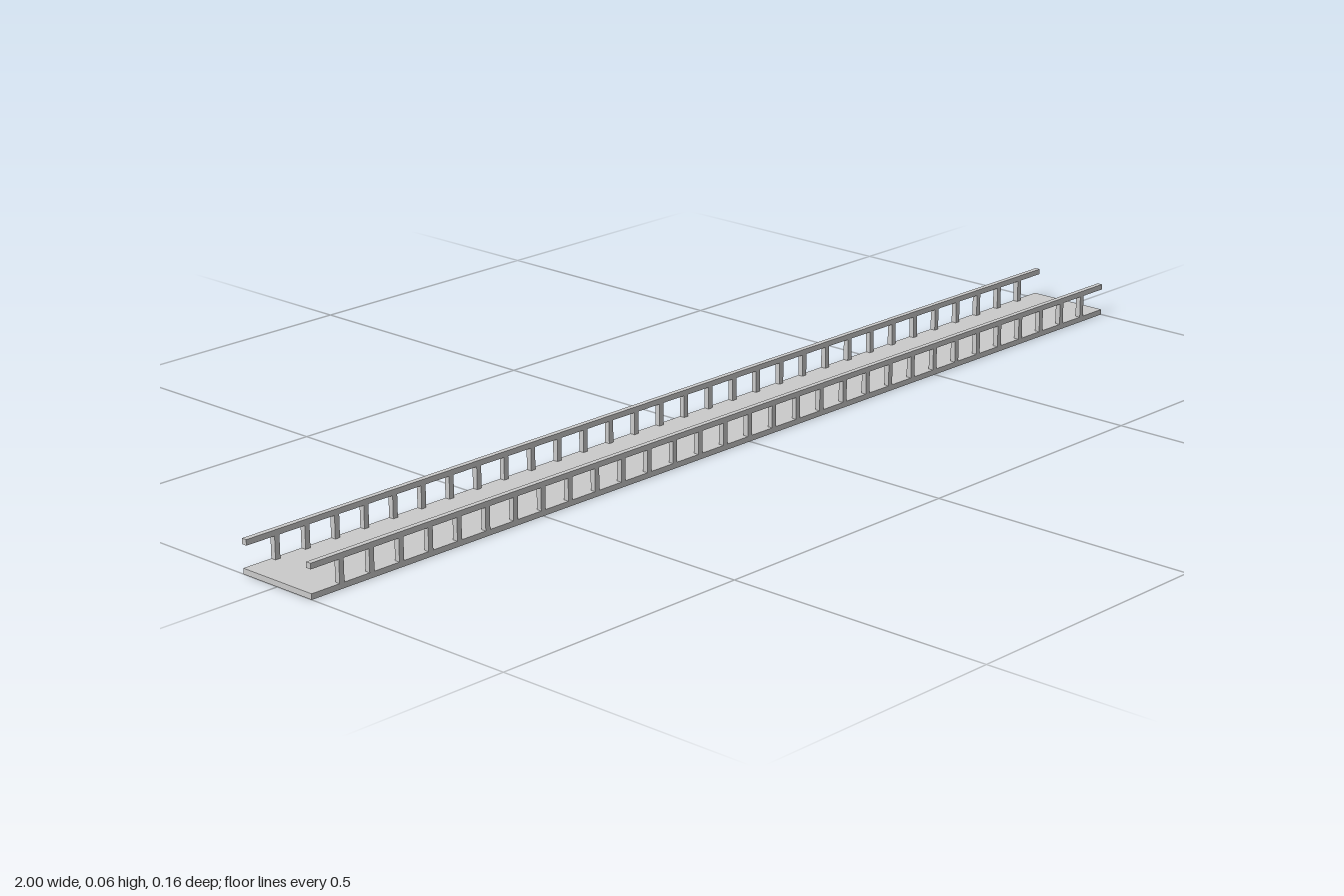
import * as THREE from 'three';

export function createModel() {
  const model = new THREE.Group();
  model.name = 'footbridge';
  const material = new THREE.MeshStandardMaterial({ color: 0xcccccc });

  const LENGTH = 2, WIDTH = 0.16, BAR = 0.01, HEIGHT = 0.06;
  const POSTS = 31, SPACING = LENGTH / (POSTS + 1);

  function addBox(parent, name, size, position) {
    const mesh = new THREE.Mesh(new THREE.BoxGeometry(...size), material);
    mesh.name = name;
    mesh.position.set(...position);
    parent.add(mesh);
  }

  // Flat walkway
  addBox(model, 'deck', [LENGTH, BAR, WIDTH], [0, BAR / 2, 0]);

  // A railing along each long edge: evenly spaced posts under a handrail
  for (const side of [1, -1]) {
    const railing = new THREE.Group();
    railing.name = side > 0 ? 'frontRailing' : 'backRailing';
    railing.position.z = side * (WIDTH - BAR) / 2;
    addBox(railing, 'handrail', [LENGTH, BAR, BAR], [0, HEIGHT - BAR / 2, 0]);
    for (let i = 0; i < POSTS; i++) {
      const x = (i - (POSTS - 1) / 2) * SPACING;
      addBox(railing, 'post', [BAR, HEIGHT - 2 * BAR, BAR], [x, HEIGHT / 2, 0]);
    }
    model.add(railing);
  }
  return model;
}
